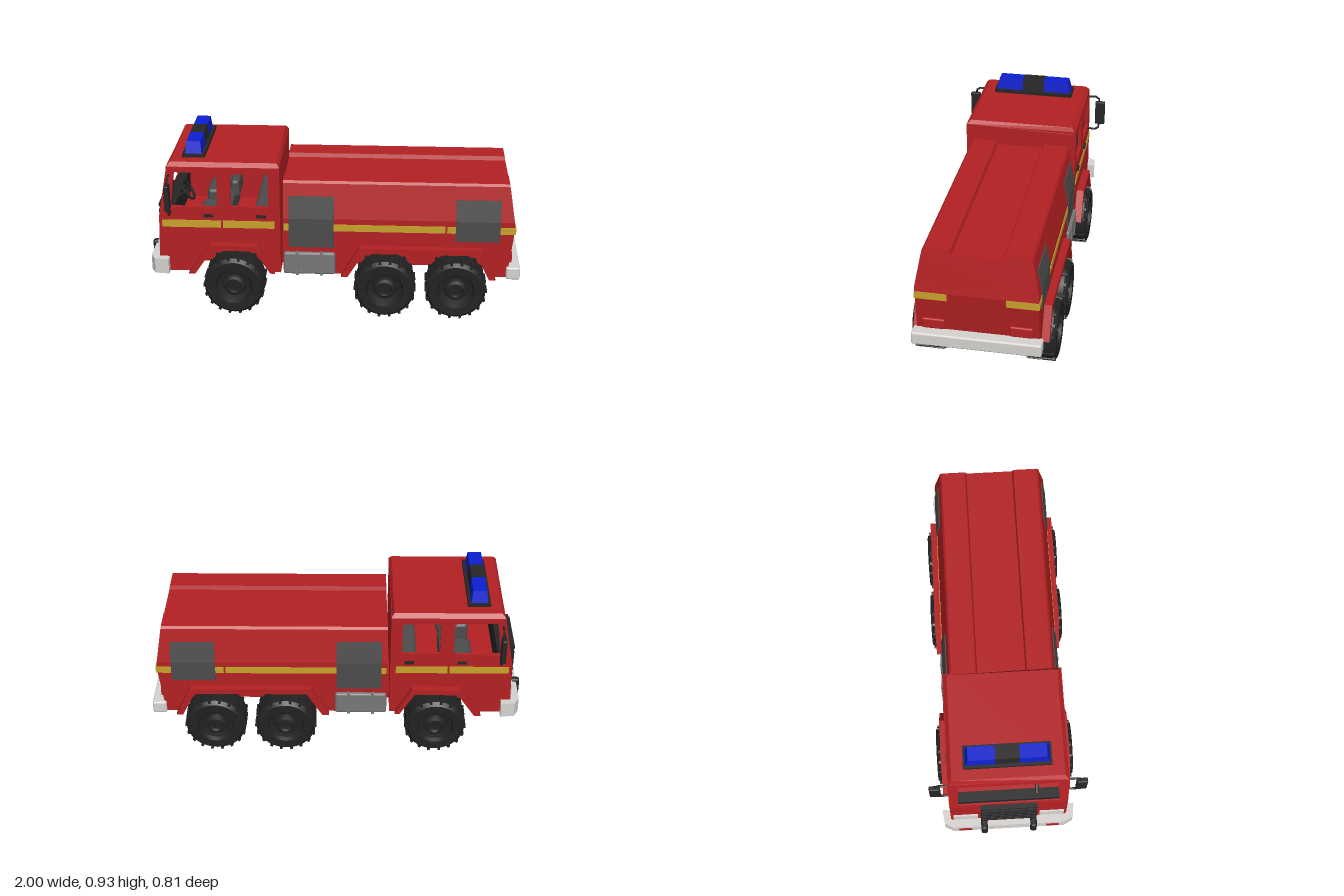
import * as THREE from 'three';
import { mergeGeometries, toCreasedNormals } from 'three/addons/utils/BufferGeometryUtils.js';
import { RoundedBoxGeometry } from 'three/addons/geometries/RoundedBoxGeometry.js';

const mat = (name, color) => {
  const m = new THREE.MeshStandardMaterial({ color });
  m.name = name;
  return m;
};

export function createModel() {
  const truck = new THREE.Group();
  truck.name = 'fireTruck';
  const red = mat('red paint', 0xb42023), dark = mat('black plastic', 0x262626), tyre = mat('tyre rubber', 0x222222),
    grey = mat('shutter grey', 0x4c4c4c), steel = mat('locker grey', 0x787878), white = mat('bumper white', 0xd6d3cf),
    yellow = mat('stripe yellow', 0xc9a22c), blue = mat('beacon blue', 0x0c1fd0);

  const add = (name, geo, material) => {
    const m = new THREE.Mesh(geo, material);
    m.name = name;
    truck.add(m);
    return m;
  };
  // box given by its limits on each axis
  const box = (name, material, [x0, x1], [y0, y1], [z0, z1], r = 0) => {
    const d = [x1 - x0, y1 - y0, z1 - z0];
    const g = r ? new RoundedBoxGeometry(...d, 2, r) : new THREE.BoxGeometry(...d);
    g.translate((x0 + x1) / 2, (y0 + y1) / 2, (z0 + z1) / 2);
    return add(name, g, material);
  };
  const pair = (name, material, x, y, [z0, z1], r) => {
    box(name + 'Left', material, x, y, [z0, z1], r);
    box(name + 'Right', material, x, y, [-z1, -z0], r);
  };
  const shapeOf = (pts, holes = []) => {
    const s = new THREE.Shape(pts.map(p => new THREE.Vector2(...p)));
    holes.forEach(h => s.holes.push(new THREE.Path(h.map(p => new THREE.Vector2(...p)))));
    return s;
  };
  // side outline (x, y) extruded from z0 to z1
  const sidePlate = (pts, z0, z1, holes) =>
    new THREE.ExtrudeGeometry(shapeOf(pts, holes), { depth: z1 - z0, bevelEnabled: false }).translate(0, 0, z0);
  // cross-section (z, y) extruded from x0 to x1
  const section = (pts, x0, x1, holes = []) => {
    const flip = l => l.map(([z, y]) => [-z, y]);
    return new THREE.ExtrudeGeometry(shapeOf(flip(pts), holes.map(flip)), { depth: x1 - x0, bevelEnabled: false })
      .rotateY(Math.PI / 2).translate(x0, 0, 0);
  };
  const mirrored = half => [...half, ...half.map(([z, y]) => [-z, y]).reverse()];
  // moves x by a rule of (x, y)
  const shiftX = (geo, rule) => {
    const p = geo.attributes.position;
    for (let i = 0; i < p.count; i++) p.setX(i, rule(p.getX(i), p.getY(i)));
    geo.computeVertexNormals();
    return geo;
  };

  // cab sides with open windows and wheel arch
  const cabSide = [[-0.935, 0.23], [-0.75, 0.23], [-0.65, 0.37], [-0.41, 0.37], [-0.32, 0.23], [-0.28, 0.23],
    [-0.28, 0.83], [-0.873, 0.83], [-0.925, 0.55]];
  const windows = [[[-0.86, 0.605], [-0.625, 0.605], [-0.612, 0.62], [-0.612, 0.79], [-0.625, 0.802], [-0.835, 0.802]],
    [[-0.54, 0.61], [-0.342, 0.61], [-0.342, 0.797], [-0.54, 0.797]]];
  add('cabSideLeft', sidePlate(cabSide, 0.29, 0.31, windows), red);
  add('cabSideRight', sidePlate(cabSide, -0.31, -0.29, windows), red);

  // cab front: lower panel and windscreen frame
  const frontX = y => y < 0.55 ? -0.935 + (y - 0.23) * 0.031 : -0.925 + (y - 0.55) * 0.186;
  const front = (top, bottom, holes) => shiftX(
    section(mirrored([[0.309, bottom], [0.309, top]]), 0, 0.02, holes), (x, y) => x + frontX(y));
  add('cabFrontPanel', front(0.55, 0.23), red);
  add('windscreenFrame', front(0.83, 0.55, [mirrored([[0.265, 0.58], [0.255, 0.795]])]), red);
  box('cabRearWall', red, [-0.3, -0.281], [0.23, 0.83], [-0.3, 0.3]);
  box('cabFloor', red, [-0.92, -0.29], [0.38, 0.41], [-0.295, 0.295]);
  add('cabRoof', shiftX(section(mirrored([[0.309, 0.815], [0.307, 0.832], [0.287, 0.853]]), -0.875, -0.28),
    (x, y) => y > 0.84 ? x + (x < -0.5 ? 0.02 : -0.015) : x), red);

  // cab interior
  pair('frontSeat', grey, [-0.72, -0.56], [0.41, 0.55], [0.06, 0.26], 0.02);
  pair('seatBack', grey, [-0.59, -0.54], [0.5, 0.605], [0.06, 0.26], 0.02);
  box('rearBench', grey, [-0.42, -0.3], [0.41, 0.59], [-0.28, 0.28], 0.02);
  box('dashboard', dark, [-0.905, -0.85], [0.45, 0.585], [-0.285, 0.285]);
  const wheelRim = new THREE.TorusGeometry(0.055, 0.007, 6, 20);
  const spokes = [0, 1, 2].map(i => new THREE.BoxGeometry(0.055, 0.01, 0.006).translate(0.0275, 0, 0)
    .rotateZ(i * Math.PI * 2 / 3 + Math.PI / 2));
  const column = new THREE.CylinderGeometry(0.01, 0.01, 0.1, 8).rotateX(Math.PI / 2).translate(0, 0, -0.05);
  const steering = add('steeringWheel', mergeGeometries([wheelRim, ...spokes, column]), dark);
  steering.rotation.set(0, Math.PI / 2, 0);
  steering.rotateX(-0.6);
  steering.position.set(-0.79, 0.635, 0.15);

  // grille, headlamps, front bumper
  box('grille', dark, [-0.948, -0.92], [0.34, 0.565], [-0.15, 0.15]);
  for (let i = 0; i < 6; i++) box('grilleSlat', dark, [-0.957, -0.94], [0.35 + i * 0.036, 0.37 + i * 0.036], [-0.145, 0.145]);
  pair('headlampPanel', white, [-0.94, -0.925], [0.335, 0.4], [0.165, 0.295]);
  const bumperPlan = [[-0.98, -0.3], [-0.955, -0.345], [-0.88, -0.355], [-0.88, -0.312], [-0.935, -0.305],
    [-0.935, 0.305], [-0.88, 0.312], [-0.88, 0.355], [-0.955, 0.345], [-0.98, 0.3]];
  add('frontBumper', new THREE.ExtrudeGeometry(shapeOf(bumperPlan), { depth: 0.085, bevelEnabled: false })
    .rotateX(Math.PI / 2).translate(0, 0.315, 0), white);
  pair('bumperLamp', red, [-0.984, -0.978], [0.255, 0.29], [0.2, 0.27]);
  pair('bumperGuard', dark, [-1, -0.93], [0.21, 0.33], [0.115, 0.15], 0.012);

  // tank body: lower part with rear arch, upper part with sloped sides and roof channel
  const wall = y => 0.31 - Math.max(0, y - 0.55) * 0.184;
  add('bodyLower', sidePlate([[-0.265, 0.23], [0.08, 0.23], [0.17, 0.37], [0.76, 0.37], [0.84, 0.23], [0.93, 0.23],
    [0.963, 0.52], [0.958, 0.55], [-0.265, 0.55]], -0.31, 0.31), red);
  add('bodyUpper', shiftX(section(mirrored([[0.31, 0.55], [0.275, 0.738], [0.264, 0.75], [0.135, 0.75], [0.127, 0.728]]),
    -0.265, 0.963), (x, y) => x > 0.5 ? 0.963 - (y - 0.52) * 0.16 : x), red);
  box('chassis', red, [-0.92, 0.925], [0.235, 0.4], [-0.195, 0.195]);

  // wheel arch flares
  const flares = {
    front: [[-0.775, 0.23], [-0.66, 0.4], [-0.4, 0.4], [-0.31, 0.24], [-0.335, 0.24], [-0.415, 0.37], [-0.645, 0.37], [-0.74, 0.23]],
    rear: [[0.045, 0.23], [0.14, 0.4], [0.79, 0.4], [0.87, 0.23], [0.835, 0.23], [0.765, 0.37], [0.165, 0.37], [0.08, 0.23]],
  };
  for (const [name, pts] of Object.entries(flares)) {
    add(name + 'FlareLeft', sidePlate(pts, 0.2, 0.35), red);
    add(name + 'FlareRight', sidePlate(pts, -0.35, -0.2), red);
  }

  // shutters and stripes that follow the body wall
  const skin = (name, material, x0, x1, y0, y1, t) => {
    const ys = [y0, ...(y0 < 0.55 && y1 > 0.55 ? [0.55] : []), y1];
    for (const s of [1, -1]) {
      const pts = [...ys.map(y => [s * (wall(y) + t), y]), ...ys.map(y => [s * (wall(y) - 0.003), y]).reverse()];
      add(name, section(pts, x0, x1), material);
    }
  };
  skin('shutterFront', grey, -0.235, 0.005, 0.385, 0.67, 0.005);
  skin('shutterRear', grey, 0.65, 0.885, 0.435, 0.665, 0.005);
  for (const [a, b] of [[-0.262, -0.235], [0.005, 0.595], [0.605, 0.65], [0.885, 0.96]])
    skin('bodyStripe', yellow, a, b, 0.482, 0.52, 0.004);
  for (const [a, b] of [[-0.91, -0.595], [-0.585, -0.31]])
    pair('cabStripe', yellow, [a, b], [0.489, 0.53], [0.309, 0.314]);
  pair('rearStripe', yellow, [0.957, 0.967], [0.482, 0.52], [0.148, 0.313]);
  for (const x of [-0.66, -0.38]) pair('doorHandle', dark, [x - 0.025, x + 0.025], [0.55, 0.565], [0.308, 0.32]);

  // side lockers, rear lamps, rear bumper
  pair('sideLocker', steel, [-0.263, 0.013], [0.23, 0.357], [0.2, 0.328], 0.012);
  for (const x of [-0.19, -0.06]) pair('lockerStrap', steel, [x - 0.008, x + 0.008], [0.228, 0.36], [0.21, 0.332]);
  pair('rearLamp', red, [0.93, 0.957], [0.302, 0.36], [0.163, 0.28], 0.008);
  box('rearBumper', white, [0.925, 1], [0.225, 0.295], [-0.33, 0.33], 0.01);

  // beacon bar
  box('beaconBase', dark, [-0.8, -0.68], [0.85, 0.871], [-0.226, 0.226]);
  const bar = [[-0.785, 0.87], [-0.698, 0.87], [-0.705, 0.935], [-0.778, 0.935]];
  add('beaconCentre', sidePlate(bar, -0.062, 0.062).translate(0, 0.002, 0), dark);
  for (const s of [1, -1]) {
    const g = sidePlate(bar, s > 0 ? 0.06 : -0.216, s > 0 ? 0.216 : -0.06), p = g.attributes.position;
    for (let i = 0; i < p.count; i++)
      if (Math.abs(p.getZ(i)) > 0.2 && p.getY(i) > 0.9) p.setZ(i, s * 0.2);
    g.computeVertexNormals();
    add(s > 0 ? 'beaconLeft' : 'beaconRight', g, blue);
  }

  // mirrors on bent tube arms
  for (const s of [1, -1]) {
    const path = new THREE.CurvePath();
    const pts = [[0.3, 0.785], [0.35, 0.79], [0.372, 0.775], [0.372, 0.59], [0.35, 0.575], [0.3, 0.58]]
      .map(([z, y]) => new THREE.Vector3(-0.862, y, s * z));
    for (let i = 1; i < pts.length; i++) path.add(new THREE.LineCurve3(pts[i - 1], pts[i]));
    add('mirrorArm', new THREE.TubeGeometry(path, 40, 0.006, 6), dark);
  }
  pair('mirror', dark, [-0.877, -0.851], [0.615, 0.757], [0.35, 0.407], 0.006);

  // wheels with tread lugs, and axles
  const tyreProfile = [[0, -0.06], [0.09, -0.06], [0.1, -0.08], [0.143, -0.082], [0.16, -0.062], [0.16, 0.062],
    [0.143, 0.082], [0.1, 0.08], [0.09, 0.058], [0.062, 0.052], [0.056, 0.068], [0.04, 0.074], [0.033, 0.06], [0, 0.06]];
  const parts = [toCreasedNormals(new THREE.LatheGeometry(tyreProfile.map(p => new THREE.Vector2(...p)), 32)
    .rotateX(Math.PI / 2), 0.6)];
  for (let i = 0; i < 36; i++)
    parts.push(new THREE.BoxGeometry(0.014, 0.02, 0.072).translate(0, 0.156, i % 2 ? 0.038 : -0.038)
      .rotateZ(i * Math.PI / 18).toNonIndexed());
  const wheelGeo = mergeGeometries(parts);
  for (const x of [-0.53, 0.28, 0.66]) {
    for (const s of [1, -1]) {
      const w = add(s > 0 ? 'wheelLeft' : 'wheelRight', wheelGeo, tyre);
      w.position.set(x, 0.168, s * 0.292);
      if (s < 0) w.rotation.y = Math.PI;
    }
    add('axle', new THREE.CylinderGeometry(0.048, 0.048, 0.46, 16).rotateX(Math.PI / 2).translate(x, 0.175, 0), dark);
  }
  return truck;
}
